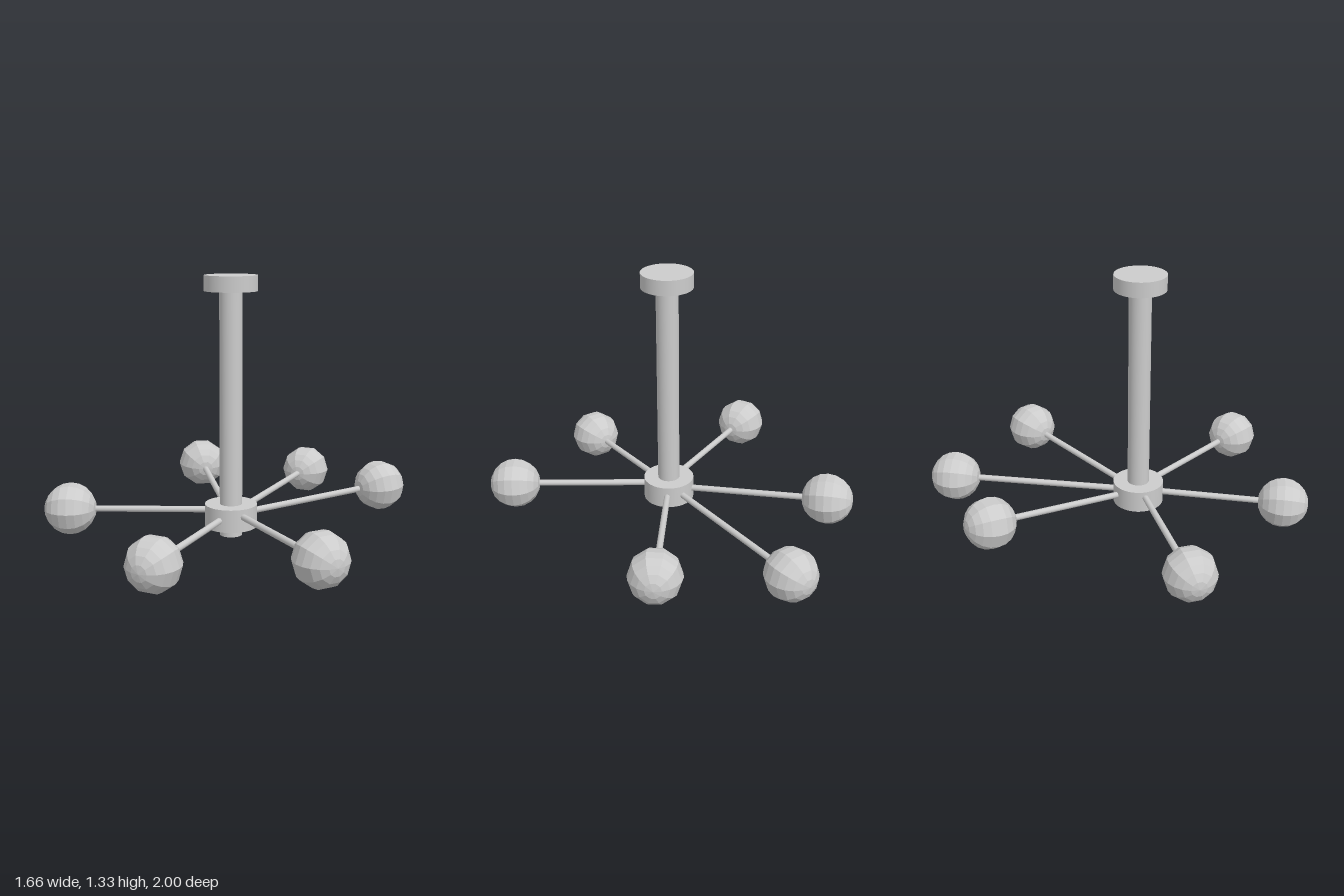
import * as THREE from 'three';

const AXIS = new THREE.Vector3(0.037, 0, 0.115); // vertical axis of the stem

export function createModel() {
  const model = new THREE.Group();
  const smooth = new THREE.MeshStandardMaterial({ color: 0xcccccc });
  const faceted = new THREE.MeshStandardMaterial({ color: 0xcccccc, flatShading: true });

  // Upright disc or rod on the stem axis
  function addColumn(name, radius, bottom, top) {
    const mesh = new THREE.Mesh(new THREE.CylinderGeometry(radius, radius, top - bottom, 40), smooth);
    mesh.position.set(AXIS.x, (bottom + top) / 2, AXIS.z);
    mesh.name = name;
    model.add(mesh);
  }
  addColumn('ceilingPlate', 0.13, 1.254, 1.33);
  addColumn('stem', 0.056, 0.04, 1.27);
  addColumn('hub', 0.13, 0.087, 0.2);

  // Arm running along local +z with a faceted globe at its end
  function addArm(name, hubY, x, y, z) {
    const arm = new THREE.Group();
    arm.name = name;
    arm.position.set(AXIS.x, hubY, AXIS.z);
    const end = new THREE.Vector3(x, y, z);
    const length = arm.position.distanceTo(end);
    arm.lookAt(end);

    const rod = new THREE.Mesh(new THREE.CylinderGeometry(0.016, 0.016, length, 12), smooth);
    rod.name = 'rod';
    rod.rotation.x = Math.PI / 2;
    rod.position.z = length / 2;

    const globe = new THREE.Mesh(new THREE.SphereGeometry(0.13, 10, 10), faceted);
    globe.name = 'globe';
    globe.rotation.x = Math.PI / 2;
    globe.position.z = length;

    arm.add(rod, globe);
    model.add(arm);
  }

  // Name, height at the hub, globe centre
  const arms = [
    ['frontArm', 0.147, 0.037, 0.125, 0.87],
    ['backArm', 0.143, 0.037, 0.152, -0.87],
    ['backRightArm', 0.14, -0.48, 0.207, -0.55],
    ['backLeftArm', 0.14, 0.583, 0.194, -0.567],
    ['frontRightArm', 0.168, -0.703, 0.163, 0.437],
    ['frontLeftArm', 0.162, 0.7, 0.16, 0.585],
  ];
  arms.forEach((a) => addArm(...a));

  return model;
}
